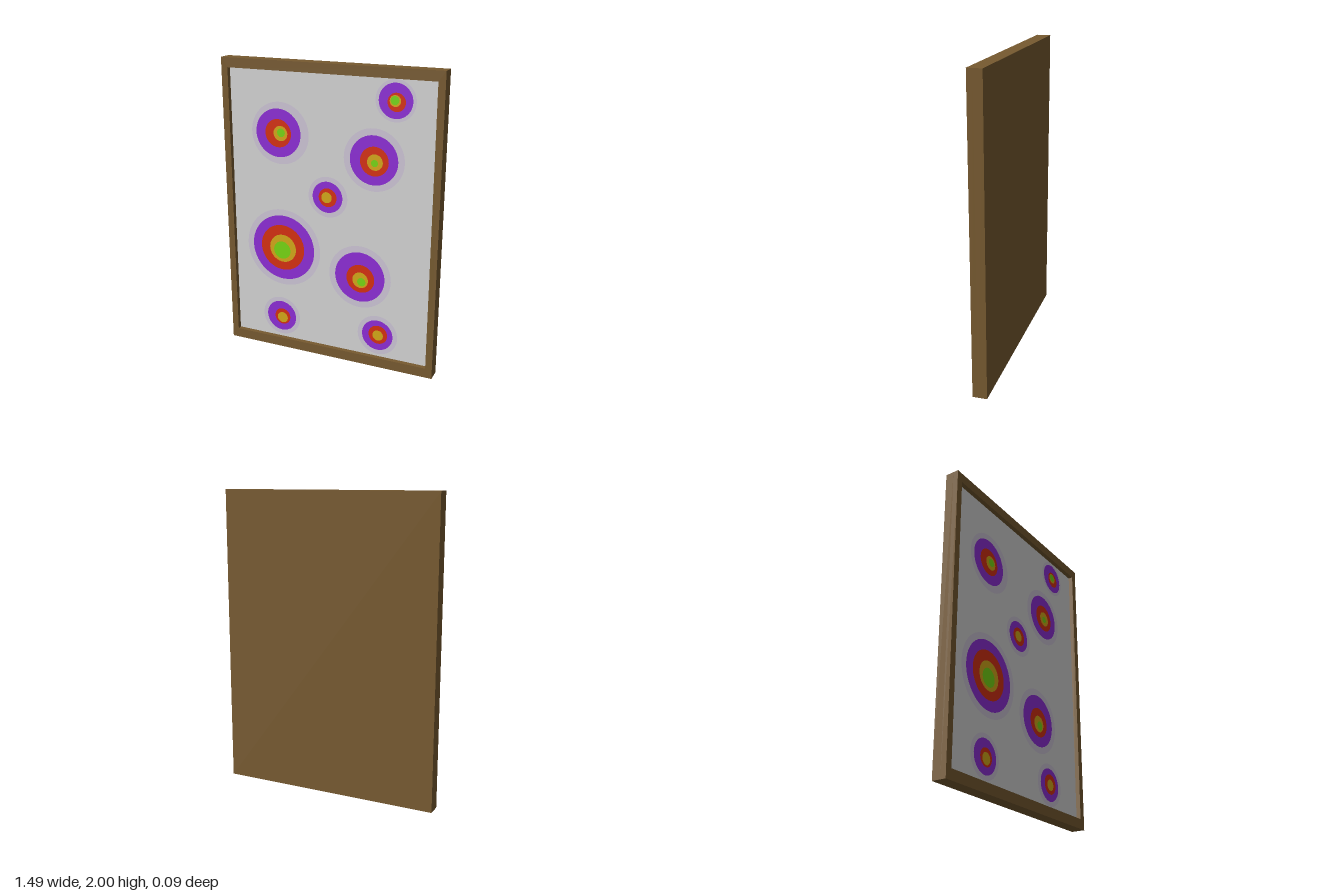
import * as THREE from 'three';

const W = 1.49, H = 2, D = 0.093;            // outer size
const IW = 1.4, BOTTOM = 0.066, TOP = 1.936; // opening
const FACE = 0.016;                          // z of the recessed panel

const mat = (name, color) => {
  const m = new THREE.MeshStandardMaterial({ color });
  m.name = name;
  return m;
};

export function createModel() {
  const wood = mat('wood', 0x775a30);
  const grey = mat('panel grey', 0xd4d4d4);
  const halo = mat('pale violet', 0xcdc5d6);
  const purple = mat('purple', 0x8d2dd6);
  const red = mat('red', 0xd63010);
  const yellow = mat('yellow', 0xd4a818);
  const green = mat('green', 0x76d612);

  const model = new THREE.Group();
  model.name = 'framedPanel';
  const add = (parent, name, geometry, material, x = 0, y = 0, z = 0) => {
    const mesh = new THREE.Mesh(geometry, material);
    mesh.name = name;
    mesh.position.set(x, y, z);
    parent.add(mesh);
  };

  // Frame border standing in front of the backing board
  const outline = new THREE.Shape([
    new THREE.Vector2(-W / 2, 0), new THREE.Vector2(W / 2, 0),
    new THREE.Vector2(W / 2, H), new THREE.Vector2(-W / 2, H),
  ]);
  outline.holes.push(new THREE.Path([
    new THREE.Vector2(-IW / 2, BOTTOM), new THREE.Vector2(-IW / 2, TOP),
    new THREE.Vector2(IW / 2, TOP), new THREE.Vector2(IW / 2, BOTTOM),
  ]));
  const boardFront = FACE - 0.006;
  add(model, 'frame', new THREE.ExtrudeGeometry(outline, { depth: D / 2 - boardFront, bevelEnabled: false }),
    wood, 0, 0, boardFront);
  const boardDepth = boardFront + D / 2;
  add(model, 'backingBoard', new THREE.BoxGeometry(W, H, boardDepth), wood, 0, H / 2, boardFront - boardDepth / 2);

  // Recessed panel
  add(model, 'panel', new THREE.BoxGeometry(IW, TOP - BOTTOM, 0.006), grey, 0, (TOP + BOTTOM) / 2, FACE - 0.003);

  // Painted spots: [x, y, radius] for halo, purple, red, yellow and green discs
  const layers = [['halo', halo], ['outerRing', purple], ['middleRing', red], ['innerRing', yellow], ['core', green]];
  const spots = [
    [[0.437, 1.8, 0.13], [0.437, 1.8, 0.109], [0.443, 1.792, 0.058], [0.435, 1.8, 0.036], [0.433, 1.803, 0.027]],
    [[-0.345, 1.53, 0.205], [-0.357, 1.531, 0.16], [-0.357, 1.53, 0.093], [-0.34, 1.53, 0.05], [-0.335, 1.535, 0.028]],
    [[0.304, 1.42, 0.202], [0.304, 1.419, 0.16], [0.308, 1.413, 0.095], [0.313, 1.408, 0.052], [0.311, 1.402, 0.023]],
    [[-0.008, 1.14, 0.137], [-0.01, 1.14, 0.105], [-0.008, 1.138, 0.063], [-0.015, 1.138, 0.037]],
    [[-0.336, 0.74, 0.272], [-0.336, 0.74, 0.229], [-0.341, 0.74, 0.161], [-0.339, 0.735, 0.098], [-0.344, 0.722, 0.062]],
    [[0.22, 0.62, 0.217], [0.22, 0.62, 0.174], [0.226, 0.61, 0.098], [0.226, 0.6, 0.055], [0.235, 0.589, 0.029]],
    [[-0.36, 0.225, 0.14], [-0.36, 0.225, 0.11], [-0.352, 0.222, 0.058], [-0.352, 0.214, 0.039]],
    [[0.352, 0.222, 0.14], [0.352, 0.222, 0.108], [0.357, 0.227, 0.066], [0.357, 0.222, 0.037]],
  ];
  for (const discs of spots) {
    const spot = new THREE.Group();
    spot.name = 'spot';
    discs.forEach(([x, y, r], i) => {
      const [name, material] = layers[i];
      add(spot, name, new THREE.CircleGeometry(r, 48), material, x, y, FACE + 0.0015 * (i + 1));
    });
    model.add(spot);
  }
  return model;
}
